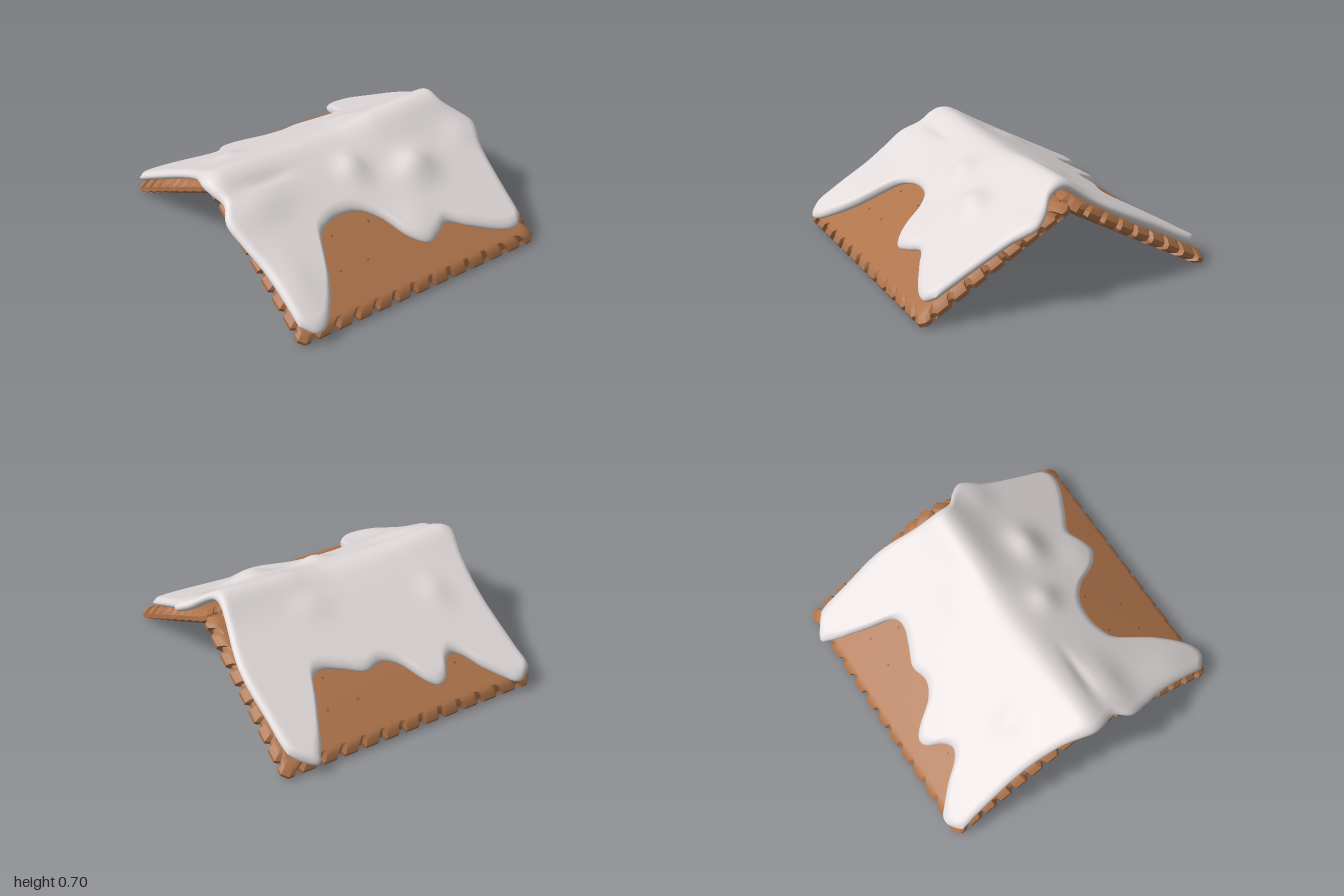
import * as THREE from 'three';
import { mergeVertices, toCreasedNormals } from 'three/addons/utils/BufferGeometryUtils.js';

const biscuitBrown = new THREE.MeshStandardMaterial({ color: 0xae734a });
biscuitBrown.name = 'biscuit brown';
const holeBrown = new THREE.MeshStandardMaterial({ color: 0x8f5b38 });
holeBrown.name = 'hole brown';
const icingWhite = new THREE.MeshStandardMaterial({ color: 0xe1dada });
icingWhite.name = 'icing white';

const TILT = Math.atan(0.565), HALF_W = 0.885, HALF_L = 0.55, RIDGE_Y = 0.573;

// Smooth curve through [position, value] points
function curve(pts) {
  const slope = i => {
    const a = pts[Math.max(i - 1, 0)], b = pts[Math.min(i + 1, pts.length - 1)];
    return (b[1] - a[1]) / (b[0] - a[0]);
  };
  return p => {
    const last = pts.length - 1;
    if (p <= pts[0][0]) return pts[0][1];
    if (p >= pts[last][0]) return pts[last][1];
    let i = 0;
    while (p > pts[i + 1][0]) i++;
    const w = pts[i + 1][0] - pts[i][0], t = (p - pts[i][0]) / w, t2 = t * t, t3 = t2 * t;
    return (2 * t3 - 3 * t2 + 1) * pts[i][1] + (t3 - 2 * t2 + t) * w * slope(i)
      + (3 * t2 - 2 * t3) * pts[i + 1][1] + (t3 - t2) * w * slope(i + 1);
  };
}

function geometryFrom(positions, index) {
  const g = new THREE.BufferGeometry();
  g.setAttribute('position', new THREE.Float32BufferAttribute(positions, 3));
  g.setIndex(index);
  return g;
}

// Toothed outline of the biscuit: point, outward direction and notch depth
function toothedOutline() {
  const out = [];
  const side = (half, count, place) => {
    const inner = half - 0.03, pitch = 2 * inner / count;
    for (let k = 0; k < count; k++)
      for (const [f, notch] of [[0.04, 0], [0.3, 0], [0.42, 1], [0.58, 1], [0.7, 0], [0.96, 0]])
        out.push({ ...place(-inner + (k + f) * pitch), notch });
  };
  side(HALF_W, 12, t => ({ x: t, z: HALF_L, nx: 0, nz: 1 }));
  side(HALF_L, 8, t => ({ x: HALF_W, z: -t, nx: 1, nz: 0 }));
  side(HALF_W, 12, t => ({ x: -t, z: -HALF_L, nx: 0, nz: -1 }));
  side(HALF_L, 8, t => ({ x: -HALF_W, z: t, nx: -1, nz: 0 }));
  return out;
}

function biscuitGeometry() {
  const outline = toothedOutline(), n = outline.length;
  // inset, height, notch strength
  const levels = [
    [0.35, -0.06, 0], [0.17, -0.057, 0], [0.075, -0.048, 0], [0.035, -0.043, 1], [0, -0.02, 1],
    [0, 0.008, 1], [0.03, 0.036, 0.7], [0.055, 0.045, 0.2], [0.08, 0.046, 0],
  ];
  const pos = [], idx = [];
  for (const [inset, h, w] of levels)
    for (const p of outline) {
      const d = p.notch * w * 0.03;
      pos.push(p.x * (1 - inset / HALF_W) - p.nx * d, h, p.z * (1 - inset / HALF_L) - p.nz * d);
    }
  const bottom = levels.length * n, top = bottom + 1, lastRow = bottom - n;
  pos.push(0, -0.06, 0, 0, 0.046, 0);
  for (let j = 0; j < n; j++) {
    const k = (j + 1) % n;
    for (let l = 0; l < levels.length - 1; l++) {
      const a = l * n + j, b = l * n + k;
      idx.push(a, b, b + n, a, b + n, a + n);
    }
    idx.push(bottom, k, j, top, lastRow + j, lastRow + k);
  }
  return toCreasedNormals(geometryFrom(pos, idx), 0.45);
}

// Edges of the icing, seen from above
const frontEdge = curve([[-0.87, 0.92], [-0.78, 0.99], [-0.68, 0.95], [-0.55, 0.78], [-0.43, 0.54],
  [-0.33, 0.475], [-0.22, 0.455], [-0.1, 0.48], [0, 0.57], [0.08, 0.71], [0.18, 0.79], [0.27, 0.77],
  [0.37, 0.725], [0.5, 0.79], [0.7, 0.885], [0.81, 0.9], [0.87, 0.85]]);
const backEdge = curve([[-0.87, 0.92], [-0.8, 0.98], [-0.7, 0.95], [-0.6, 0.85], [-0.52, 0.74],
  [-0.45, 0.7], [-0.38, 0.74], [-0.32, 0.82], [-0.25, 0.84], [-0.19, 0.79], [-0.1, 0.66], [0, 0.61],
  [0.13, 0.63], [0.25, 0.58], [0.37, 0.54], [0.46, 0.57], [0.54, 0.72], [0.63, 0.88], [0.71, 0.96],
  [0.79, 1], [0.87, 0.9]]);
const leftX = curve([[-1, 0.76], [-0.9, 0.82], [-0.7, 0.84], [-0.4, 0.855], [-0.1, 0.79], [0, 0.78],
  [0.1, 0.8], [0.17, 0.88], [0.25, 0.935], [0.32, 0.92], [0.4, 0.885], [0.6, 0.86], [0.9, 0.84]]);
const rightX = curve([[-0.98, -0.86], [-0.93, -0.885], [-0.8, -0.87], [-0.45, -0.845], [-0.2, -0.87],
  [0, -0.93], [0.08, -0.92], [0.18, -0.89], [0.28, -0.94], [0.4, -0.92], [0.6, -0.88], [0.95, -0.865]]);
const ridgeLift = curve([[-0.93, 0], [-0.82, 0.03], [-0.4, 0.008], [0, -0.003], [0.15, 0.012],
  [0.3, 0.036], [0.7, 0.06], [0.8, 0.05], [0.9, 0]]);

// Soft swellings: x, z, radius in x, radius in z, height
const lumps = [[0.36, 0.4, 0.13, 0.1, 0.06], [-0.03, 0.27, 0.09, 0.09, 0.04], [-0.7, 0.28, 0.2, 0.1, 0.03],
  [-0.55, -0.36, 0.09, 0.1, 0.02], [0.25, -0.22, 0.12, 0.08, 0.015], [-0.6, 0.15, 0.18, 0.035, -0.02],
  [0.8, 0.3, 0.12, 0.1, 0.02], [0.18, 0.68, 0.12, 0.12, 0.015], [-0.75, 0.75, 0.12, 0.2, 0.02]];

function icingHeight(x, z) {
  let y = RIDGE_Y + 0.05 - 0.565 * Math.hypot(z, 0.08);
  y += ridgeLift(x) * Math.exp(-(((z - 0.03) / 0.15) ** 2));
  for (const [lx, lz, rx, rz, h] of lumps)
    y += h * Math.exp(-(((x - lx) / rx) ** 2) - ((z - lz) / rz) ** 2);
  return y;
}

function icingGeometry() {
  const NU = 120, NV = 100, T = 0.072, R = 0.05;
  const pos = [], idx = [], spread = t => Math.sin((t - 0.5) * Math.PI);
  const round = d => Math.sqrt(Math.max(0, 1 - (1 - Math.min(d / R, 1)) ** 2));
  for (const layer of [1, -1])
    for (let i = 0; i <= NU; i++)
      for (let j = 0; j <= NV; j++) {
        const u = spread(i / NU), v = spread(j / NV);
        const reach = v > 0 ? frontEdge(u * 0.87) : backEdge(u * 0.87), z = v * reach;
        const x = THREE.MathUtils.lerp(rightX(z), leftX(z), (u + 1) / 2);
        const f = round((1 - Math.abs(u)) * 0.87) * round((1 - Math.abs(v)) * reach);
        pos.push(x, icingHeight(x, z) + T / 2 * (1 + layer * f), z);
      }
  const row = NV + 1, under = (NU + 1) * row;
  for (let i = 0; i < NU; i++)
    for (let j = 0; j < NV; j++) {
      const a = i * row + j, b = a + 1, d = a + row, c = d + 1;
      idx.push(a, b, c, a, c, d);
      idx.push(a + under, c + under, b + under, a + under, d + under, c + under);
    }
  const g = mergeVertices(geometryFrom(pos, idx));
  g.computeVertexNormals();
  return g;
}

export function createModel() {
  const model = new THREE.Group();
  model.name = 'icedBiscuitRoof';
  const slab = biscuitGeometry(), dot = new THREE.CylinderGeometry(0.009, 0.009, 0.004, 8);

  // One tilted biscuit; holes are given as [x, distance from centre down the slope]
  const addPanel = (name, turn, holes) => {
    const side = new THREE.Group(), panel = new THREE.Group();
    side.name = name;
    side.rotation.y = turn;
    panel.rotation.x = TILT;
    panel.position.set(0, RIDGE_Y - HALF_L * Math.sin(TILT), HALF_L * Math.cos(TILT) + 0.005);
    const biscuit = new THREE.Mesh(slab, biscuitBrown);
    biscuit.name = 'biscuit';
    panel.add(biscuit);
    for (const [x, s] of holes) {
      const hole = new THREE.Mesh(dot, holeBrown);
      hole.name = 'biscuitHole';
      hole.position.set(x, 0.0455, s);
      panel.add(hole);
    }
    side.add(panel);
    model.add(side);
  };
  addPanel('frontPanel', 0, [[-0.44, 0.25], [-0.24, 0.25], [-0.37, 0.03], [-0.1, 0.03]]);
  addPanel('backPanel', Math.PI, [[0.45, 0.27], [-0.25, 0.27], [-0.46, 0.27], [-0.39, 0.07]]);

  const icing = new THREE.Mesh(icingGeometry(), icingWhite);
  icing.name = 'icing';
  model.add(icing);
  return model;
}
